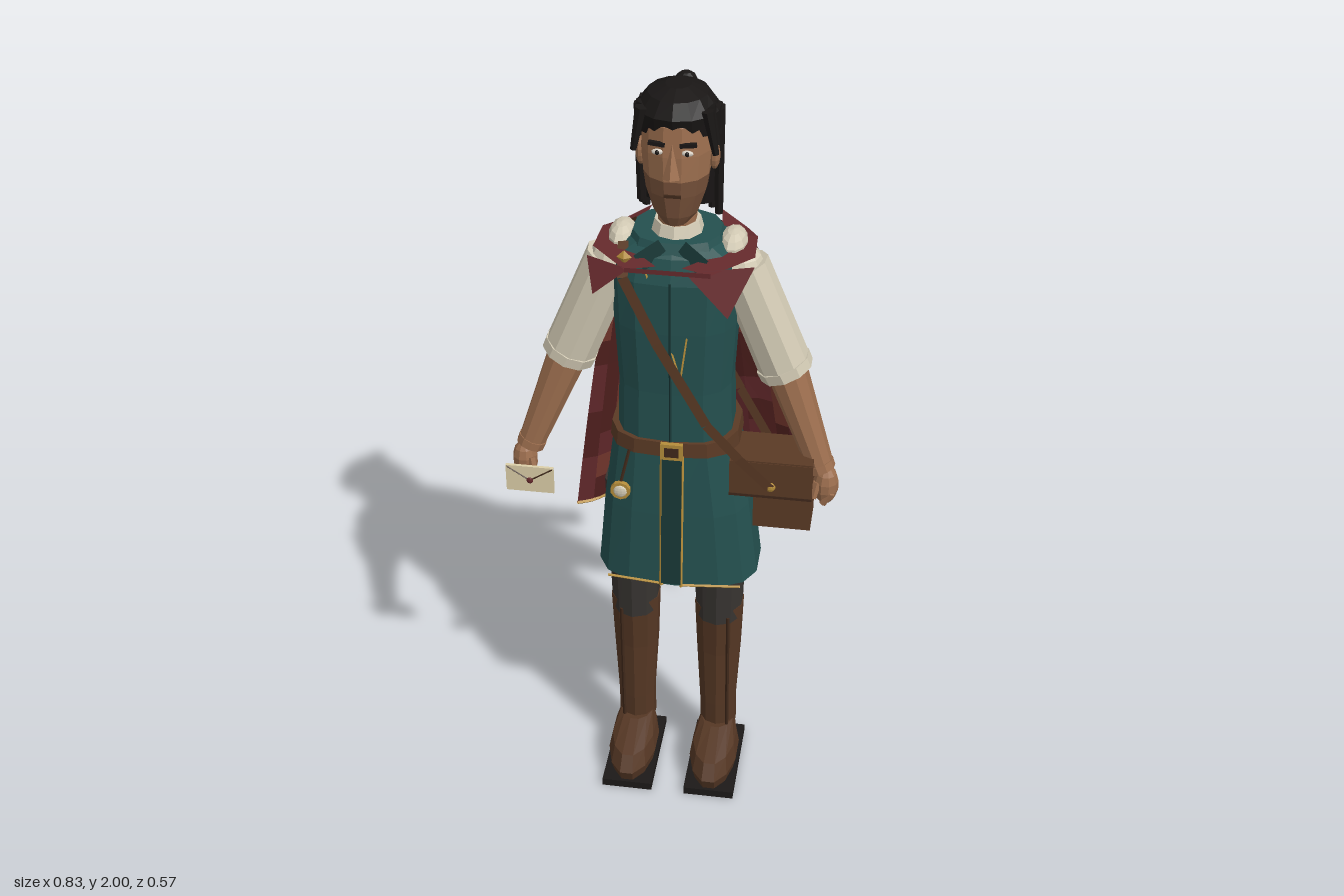
import * as THREE from 'three';

const C = {
  teal: 0x24504f, darkTeal: 0x183736, red: 0x662a2d, leather: 0x5b3a25, darkLeather: 0x3f281a, boot: 0x553724,
  trousers: 0x383431, linen: 0xd2cab4, skin: 0x9c6e4e, stubble: 0x755039, hair: 0x191615, gold: 0xb58d3a,
  paper: 0xdccfa8, sole: 0x1c1918, eye: 0xd8d0c4,
};
const V = (x, y, z) => new THREE.Vector3(x, y, z);

export function createModel() {
  const model = new THREE.Group();
  const mats = {};
  const mat = c => mats[c] ??= new THREE.MeshStandardMaterial({ color: c, flatShading: true, side: THREE.DoubleSide });
  function add(name, geo, color, x = 0, y = 0, z = 0, parent = model) {
    const m = new THREE.Mesh(geo, mat(color));
    m.name = name;
    m.position.set(x, y, z);
    parent.add(m);
    return m;
  }
  const box = (name, w, h, d, color, x, y, z) => add(name, new THREE.BoxGeometry(w, h, d), color, x, y, z);
  function ball(name, rx, ry, rz, color, x, y, z) {
    return add(name, new THREE.SphereGeometry(1, 10, 7).scale(rx, ry, rz), color, x, y, z);
  }
  function facets(pos, idx) {
    const g = new THREE.BufferGeometry();
    g.setAttribute('position', new THREE.Float32BufferAttribute(pos, 3));
    if (idx) g.setIndex(idx);
    g.computeVertexNormals();
    return g;
  }
  // Stacked rings, bottom to top: [y, rx, rz, cz, cx]; power < 1 squares the ring
  function loft(rings, n = 14, power = 1, caps = true) {
    const pos = [], idx = [];
    const bend = t => Math.sign(t) * Math.abs(t) ** power;
    for (const [y, rx, rz, cz = 0, cx = 0] of rings)
      for (let j = 0; j < n; j++) {
        const a = (j + 0.5) / n * Math.PI * 2;
        pos.push(cx + rx * bend(Math.cos(a)), y, cz + rz * bend(Math.sin(a)));
      }
    for (let i = 0; i < rings.length - 1; i++)
      for (let j = 0; j < n; j++) {
        const a = i * n + j, b = i * n + (j + 1) % n;
        idx.push(a, a + n, b, b, a + n, b + n);
      }
    if (caps) for (const i of [0, rings.length - 1]) {
      const c = pos.length / 3, [y, , , cz = 0, cx = 0] = rings[i];
      pos.push(cx, y, cz);
      for (let j = 0; j < n; j++) {
        const a = i * n + j, b = i * n + (j + 1) % n;
        if (i) idx.push(c, b, a); else idx.push(c, a, b);
      }
    }
    return facets(pos, idx);
  }
  // Tapered rod from p to q
  function rod(name, p, q, rp, rq, color, n = 8) {
    const d = q.clone().sub(p);
    const m = add(name, new THREE.CylinderGeometry(rq, rp, d.length(), n), color);
    m.position.copy(p).addScaledVector(d, 0.5);
    m.quaternion.setFromUnitVectors(V(0, 1, 0), d.normalize());
    return m;
  }
  // Flat band of given width along points, lying in the facing plane
  function strap(name, pts, width, color) {
    const pos = [];
    for (let i = 0; i < pts.length - 1; i++) {
      const [p, q] = [pts[i], pts[i + 1]];
      const s = V(-(q.y - p.y), q.x - p.x, 0).setLength(width / 2);
      const a = p.clone().sub(s), b = q.clone().sub(s), c = q.clone().add(s), d = p.clone().add(s);
      for (const v of [a, b, c, a, c, d]) pos.push(v.x, v.y, v.z);
    }
    return add(name, facets(pos), color);
  }

  // Legs, boots and shoes
  for (const s of [-1, 1]) {
    const x = s * 0.112;
    add('trouserLeg', loft([[0.5, 0.062, 0.068, 0.08, x], [0.92, 0.075, 0.085, 0.08, x]], 10), C.trousers);
    add('boot', loft([[0.1, 0.05, 0.055, 0.075, x], [0.2, 0.05, 0.053, 0.08, x], [0.38, 0.06, 0.06, 0.075, x],
      [0.54, 0.066, 0.066, 0.08, x]], 10), C.boot);
    add('shoe', loft([[0.02, 0.058, 0.128, 0.145, x], [0.06, 0.066, 0.142, 0.148, x], [0.1, 0.058, 0.12, 0.14, x],
      [0.13, 0.045, 0.06, 0.085, x]], 12), C.boot);
    box('sole', 0.135, 0.022, 0.27, C.sole, x, 0.011, 0.143);
    rod('bootSeam', V(x + s * 0.03, 0.13, 0.125), V(x + s * 0.03, 0.52, 0.138), 0.005, 0.005, C.darkLeather, 5);
  }

  // Tunic
  add('tunicBody', loft([[1.08, 0.145, 0.12, 0.08], [1.25, 0.14, 0.118, 0.08], [1.42, 0.15, 0.122, 0.08],
    [1.55, 0.155, 0.118, 0.08], [1.61, 0.14, 0.1, 0.078], [1.635, 0.09, 0.075, 0.075]], 14, 0.7), C.teal);
  add('tunicSkirt', loft([[0.69, 0.208, 0.137, 0.093, 0.01], [0.9, 0.186, 0.13, 0.088, 0.006],
    [1.1, 0.155, 0.123, 0.08, 0]], 14, 0.7, false), C.teal);
  box('skirtSlit', 0.05, 0.385, 0.006, C.darkTeal, 0.005, 0.89, 0.221).rotation.x = -0.06;
  for (const s of [-1, 1]) {
    rod('slitTrim', V(0.005 + s * 0.026, 0.69, 0.233), V(0.005 + s * 0.026, 1.08, 0.208), 0.004, 0.004, C.gold, 4);
    rod('hemTrim', V(0.01 + s * 0.025, 0.693, 0.23), V(0.01 + s * 0.17, 0.693, 0.215), 0.004, 0.004, C.gold, 4);
    rod('neckTrim', V(s * 0.06, 1.58, 0.185), V(0.025, 1.3, 0.203), 0.003, 0.003, C.gold, 4);
    strap('collarFlap', [V(s * 0.02, 1.635, 0.165), V(s * 0.075, 1.6, 0.185)], 0.045, C.darkTeal);
  }
  rod('frontSeam', V(0, 1.1, 0.202), V(0, 1.56, 0.202), 0.003, 0.003, C.darkTeal, 4);
  add('tunicCollar', loft([[1.6, 0.12, 0.105, 0.075], [1.642, 0.105, 0.09, 0.07]], 12, 0.8), C.teal);
  add('shirtCollar', loft([[1.62, 0.068, 0.07, 0.078], [1.67, 0.055, 0.055, 0.075]], 10), C.linen);

  // Belt
  add('belt', loft([[1.075, 0.164, 0.13, 0.08], [1.115, 0.16, 0.128, 0.08]], 14, 0.7), C.leather);
  box('buckle', 0.055, 0.045, 0.012, C.gold, 0.005, 1.095, 0.212);
  box('buckleCentre', 0.035, 0.026, 0.014, C.darkLeather, 0.005, 1.095, 0.213);
  const medal = add('medallion', new THREE.CylinderGeometry(0.025, 0.025, 0.012, 10), C.gold, -0.12, 0.98, 0.232);
  medal.rotation.x = Math.PI / 2;
  ball('medallionFace', 0.017, 0.017, 0.006, C.linen, -0.12, 0.98, 0.238);
  rod('medallionCord', V(-0.12, 1.0, 0.228), V(-0.1, 1.09, 0.21), 0.004, 0.004, C.darkLeather, 5);

  // Arms
  for (const s of [-1, 1]) {
    const p = (x, y, z) => V(s * x, y, z);
    ball('shoulder', 0.034, 0.035, 0.06, C.linen, s * 0.132, 1.61, 0.07);
    add('shoulderCap', new THREE.SphereGeometry(0.062, 10, 7), C.linen, s * 0.15, 1.55, 0.085);
    rod('sleeve', p(0.155, 1.56, 0.085), p(0.267, 1.285, 0.09), 0.064, 0.066, C.linen, 10);
    rod('cuff', p(0.258, 1.305, 0.09), p(0.269, 1.28, 0.09), 0.069, 0.068, C.linen, 10);
    rod('forearm', p(0.262, 1.3, 0.09), p(0.363, 1.035, 0.13), 0.052, 0.034, C.skin, 10);
    rod('wristBand', p(0.359, 1.045, 0.129), p(0.367, 1.025, 0.132), 0.037, 0.036, C.skin, 10);
    ball('hand', 0.032, 0.055, 0.034, C.skin, s * 0.38, 0.985, 0.138);
    for (let i = 0; i < 4; i++)
      rod('finger', p(0.395, 0.975, 0.115 + i * 0.015), p(0.375, 0.94, 0.115 + i * 0.015), 0.011, 0.009, C.skin, 6);
    rod('thumb', p(0.36, 1.0, 0.155), p(0.352, 0.96, 0.168), 0.012, 0.009, C.skin, 6);
  }

  // Letter in the right hand
  box('letter', 0.122, 0.076, 0.008, C.paper, -0.362, 0.948, 0.175);
  for (const s of [-1, 1])
    rod('letterFold', V(-0.362 + s * 0.058, 0.983, 0.18), V(-0.362, 0.945, 0.18), 0.002, 0.002, C.darkLeather, 4);
  ball('seal', 0.009, 0.009, 0.004, C.red, -0.362, 0.945, 0.18);

  // Satchel and its strap
  box('satchel', 0.145, 0.2, 0.1, C.leather, 0.275, 0.955, 0.115);
  box('satchelFlap', 0.205, 0.1, 0.014, C.leather, 0.247, 1.018, 0.185);
  box('satchelLid', 0.2, 0.014, 0.125, C.leather, 0.249, 1.065, 0.128);
  box('satchelTrim', 0.205, 0.007, 0.017, C.darkLeather, 0.247, 0.969, 0.185);
  ball('satchelClasp', 0.013, 0.013, 0.008, C.gold, 0.247, 1.0, 0.194);
  strap('satchelStrap', [V(-0.12, 1.625, 0.13), V(-0.11, 1.57, 0.206), V(-0.03, 1.4, 0.213), V(0.09, 1.18, 0.213),
    V(0.17, 1.09, 0.215), V(0.247, 1.0, 0.2)], 0.026, C.leather);
  strap('satchelBackStrap', [V(-0.12, 1.625, 0.02), V(-0.08, 1.55, -0.05), V(0.14, 1.12, -0.055), V(0.24, 1.05, 0.08)],
    0.026, C.leather);

  // Head and face
  add('neck', loft([[1.61, 0.048, 0.05, 0.075], [1.74, 0.045, 0.05, 0.08]], 10), C.skin);
  add('jaw', loft([[1.68, 0.03, 0.035, 0.108], [1.705, 0.053, 0.058, 0.095], [1.76, 0.072, 0.074, 0.087],
    [1.8, 0.078, 0.079, 0.084]], 12), C.stubble);
  add('head', loft([[1.8, 0.078, 0.079, 0.084], [1.86, 0.083, 0.082, 0.08], [1.93, 0.08, 0.08, 0.075],
    [1.97, 0.055, 0.06, 0.07]], 12), C.skin);
  const nose = add('nose', new THREE.ConeGeometry(0.02, 0.08, 4), C.skin, 0, 1.855, 0.168);
  nose.rotation.x = -0.25;
  box('mouth', 0.04, 0.007, 0.008, C.darkLeather, 0, 1.765, 0.159);
  for (const s of [-1, 1]) {
    ball('eye', 0.014, 0.007, 0.006, C.eye, s * 0.034, 1.873, 0.156);
    ball('pupil', 0.005, 0.006, 0.004, C.hair, s * 0.034, 1.873, 0.161);
    box('eyebrow', 0.038, 0.009, 0.01, C.hair, s * 0.036, 1.893, 0.156).rotation.z = s * 0.12;
    ball('ear', 0.013, 0.035, 0.02, C.skin, s * 0.085, 1.835, 0.075);
  }

  // Hair: cap, hanging locks round the back, temple locks and bun
  add('hairCap', loft([[1.9, 0.1, 0.085, 0.06], [1.95, 0.098, 0.092, 0.068], [1.985, 0.07, 0.075, 0.065],
    [2, 0.03, 0.035, 0.06]], 14), C.hair);
  add('backHair', loft([[1.69, 0.085, 0.035, 0.018], [1.8, 0.092, 0.045, 0.025], [1.93, 0.095, 0.06, 0.045]], 12), C.hair);
  for (let i = 0; i <= 14; i++) {
    const a = Math.PI * i / 14, x = Math.cos(a), z = 0.04 - Math.sin(a) * 0.05;
    rod('hangingLock', V(x * 0.092, 1.94, z + 0.008), V(x * 0.092, 1.668 + (i % 3) * 0.012, z), 0.014, 0.01, C.hair, 6);
  }
  for (const s of [-1, 1]) for (let i = 0; i < 3; i++)
    rod('templeLock', V(s * 0.075, 1.965, 0.125 - i * 0.03), V(s * 0.094, 1.86 + i * 0.012, 0.125 - i * 0.03),
      0.015, 0.008, C.hair, 6);
  ball('bun', 0.028, 0.026, 0.026, C.hair, 0.005, 1.966, -0.022);

  // Cape: curved patchwork sheet, patches sorted into three shades of red
  const capeAt = (u, v) => {
    const w = 0.15 + 0.175 * v ** 0.75;
    const hem = 0.65 + 0.055 * u + 0.012 * Math.cos(u * 11);
    return V(u * w, 1.58 + (hem - 1.58) * v,
      -0.1 - 0.18 * v ** 0.7 + (0.05 + 0.02 * v) * u * u + 0.008 * v * Math.cos(u * 12));
  };
  const cols = 16, rows = 12, shades = [[], [], []];
  let seed = 7;
  for (let i = 0; i < rows; i++) for (let j = 0; j < cols; j++) {
    seed = (seed * 16807) % 2147483647;
    const k = [0, 0, 0, 1, 1, 2][seed % 6];
    const [u0, u1] = [j, j + 1].map(t => t / cols * 2 - 1), [v0, v1] = [i / rows, (i + 1) / rows];
    const a = capeAt(u0, v0), b = capeAt(u1, v0), c = capeAt(u1, v1), d = capeAt(u0, v1);
    for (const p of [a, b, c, a, c, d]) shades[k].push(p.x, p.y, p.z);
  }
  shades.forEach((pos, k) => add('capePatches', facets(pos), [C.red, 0x53211f, 0x78392f][k]));
  const hemPts = Array.from({ length: cols + 1 }, (_, j) => capeAt(j / cols * 2 - 1, 1));
  add('capeHemTrim', new THREE.TubeGeometry(new THREE.CatmullRomCurve3(hemPts), 32, 0.006, 4), C.gold);

  // Shoulder bands joining the cape to the pointed front flaps
  const outer = [[0.15, -0.05], [0.185, 0.04], [0.19, 0.14], [0.1, 0.238]];
  const inner = [[0.085, -0.082], [0.1, 0.03], [0.09, 0.15], [0.03, 0.215]];
  for (const s of [-1, 1]) {
    const pos = [];
    for (let i = 0; i < 3; i++) {
      const q = [outer[i], outer[i + 1], inner[i + 1], inner[i]];
      for (const k of [0, 1, 2, 0, 2, 3]) pos.push(s * q[k][0], i + k ? 1.612 : 1.585, q[k][1]);
    }
    add('shoulderBand', facets(pos), C.red);
    const [mx, tx, ty] = s > 0 ? [0.04, 0.14, 1.5] : [0.09, 0.175, 1.54];
    add('frontFlap', facets([s * mx, 1.612, 0.235, s * 0.195, 1.615, 0.19, s * tx, ty, 0.238]), C.red);
  }
  strap('chestBand', [V(-0.1, 1.61, 0.238), V(0.1, 1.61, 0.238)], 0.012, C.red);
  const brooch = add('brooch', new THREE.OctahedronGeometry(0.018), C.gold, -0.105, 1.625, 0.205);
  brooch.scale.z = 0.6;

  // Scroll strapped to the cape
  rod('scroll', V(-0.14, 1.135, -0.255), V(0.225, 1.135, -0.255), 0.031, 0.031, C.paper, 12);
  for (const x of [-0.07, 0.145]) {
    rod('scrollStrap', V(x - 0.009, 1.135, -0.255), V(x + 0.009, 1.135, -0.255), 0.034, 0.034, C.darkLeather, 12);
    strap('scrollHanger', [V(x, 1.15, -0.25), V(x + (x < 0 ? 0.01 : -0.015), 1.27, -0.205)], 0.016, C.darkLeather);
  }
  return model;
}
